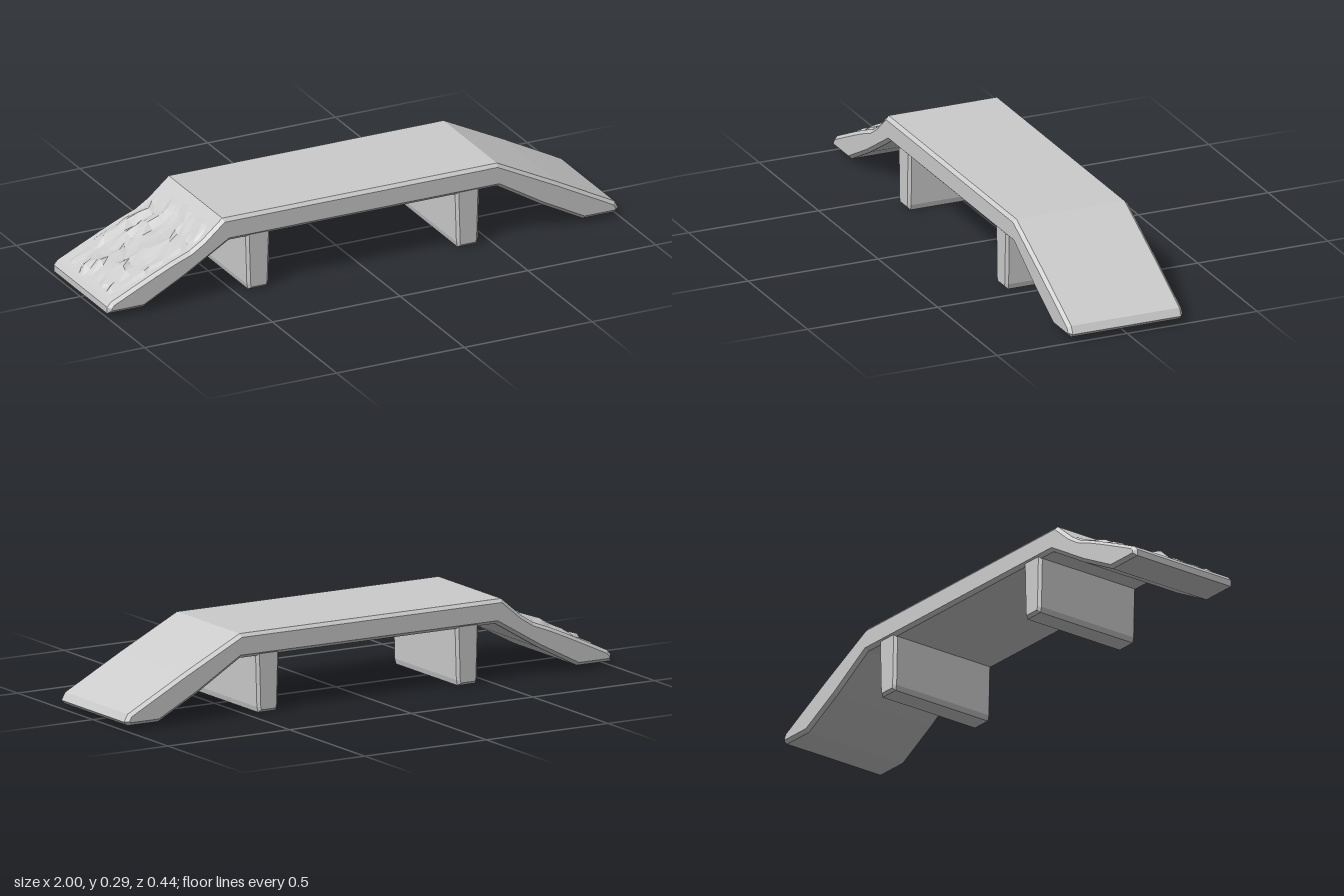
import * as THREE from 'three';

const material = new THREE.MeshStandardMaterial({ color: 0xcccccc, flatShading: true, side: THREE.DoubleSide });

// Side profile extruded across the width, with chamfered edges
function chamferedSlab(name, points, width, bevel) {
  const shape = new THREE.Shape(points.map(([x, y]) => new THREE.Vector2(x, y)));
  const geometry = new THREE.ExtrudeGeometry(shape, {
    depth: width - 2 * bevel, bevelEnabled: true, bevelSegments: 1,
    bevelSize: bevel, bevelThickness: bevel, bevelOffset: -bevel,
  });
  geometry.translate(0, 0, -width / 2 + bevel);
  const mesh = new THREE.Mesh(geometry, material);
  mesh.name = name;
  return mesh;
}

// Top line of the worn ramp: height at x
const wornLine = [[-0.985, 0.058], [-0.9, 0.1], [-0.82, 0.137], [-0.75, 0.168], [-0.68, 0.195], [-0.63, 0.227], [-0.55, 0.288]];
function wornHeight(x) {
  for (let i = 1; i < wornLine.length; i++) {
    const [x0, y0] = wornLine[i - 1], [x1, y1] = wornLine[i];
    if (x <= x1) return y0 + (y1 - y0) * (x - x0) / (x1 - x0);
  }
  return 0.288;
}

// Cracked relief on the worn ramp: a faceted height field with narrow ridges
function createWornSurface() {
  let seed = 17;
  const random = () => (seed = (seed * 16807) % 2147483647) / 2147483647;
  // Each ridge: start x, z, end x, z
  const ridges = [
    [-0.82, -0.16, -0.67, -0.15], [-0.78, -0.09, -0.64, -0.06],
    [-0.82, 0.07, -0.68, 0.1], [-0.98, -0.07, -0.9, -0.06], [-0.9, -0.02, -0.86, 0.12],
  ];
  const nx = 12, nz = 14;
  const geometry = new THREE.PlaneGeometry(1, 1, nx, nz).rotateX(-Math.PI / 2);
  const p = geometry.attributes.position;
  for (let i = 0; i < p.count; i++) {
    const u = p.getX(i) + 0.5, v = p.getZ(i) + 0.5;
    const edge = u < 0.01 || u > 0.99 || v < 0.01 || v > 0.99;
    const jitter = edge ? 0 : 0.016;
    const x = -0.985 + u * 0.425 + (random() - 0.5) * jitter;
    const z = (v - 0.5) * 0.4 + (random() - 0.5) * jitter;
    let lift = (random() - 0.35) * 0.012;
    for (const [ax, az, bx, bz] of ridges) {
      const dx = bx - ax, dz = bz - az;
      const t = THREE.MathUtils.clamp(((x - ax) * dx + (z - az) * dz) / (dx * dx + dz * dz), 0, 1);
      const distance = Math.hypot(x - ax - t * dx, z - az - t * dz);
      lift += 0.014 * Math.max(0, 1 - distance / 0.03);
    }
    p.setXYZ(i, x, wornHeight(x) + (edge ? -0.008 : lift), z);
  }
  geometry.computeVertexNormals();
  const mesh = new THREE.Mesh(geometry, material);
  mesh.name = 'wornRampSurface';
  return mesh;
}

export function createModel() {
  const group = new THREE.Group();
  group.name = 'rampBridge';

  // Deck with a ramp at each end
  group.add(chamferedSlab('deckAndRamps', [
    [-1, 0.016], [-0.86, 0.016], [-0.7, 0.1], [-0.525, 0.205],
    [0.525, 0.205], [0.7, 0.1], [0.86, 0.016], [0.985, 0.016],
    [1, 0.03], [0.985, 0.057], [0.76, 0.175], [0.525, 0.292],
    [-0.55, 0.292], ...wornLine.slice(1, -1).reverse().map(([x, y]) => [x, y - 0.003]), [-0.985, 0.057], [-1, 0.04],
  ], 0.44, 0.012));

  group.add(createWornSurface());

  // Tapered supports across the full width
  for (const side of [-1, 1]) {
    const support = chamferedSlab(side < 0 ? 'rightSupport' : 'leftSupport', [
      [-0.037, 0], [0.037, 0], [0.042, 0.02], [0.048, 0.23], [-0.048, 0.23], [-0.042, 0.02],
    ], 0.43, 0.01);
    support.position.x = side * 0.41;
    group.add(support);
  }
  return group;
}
